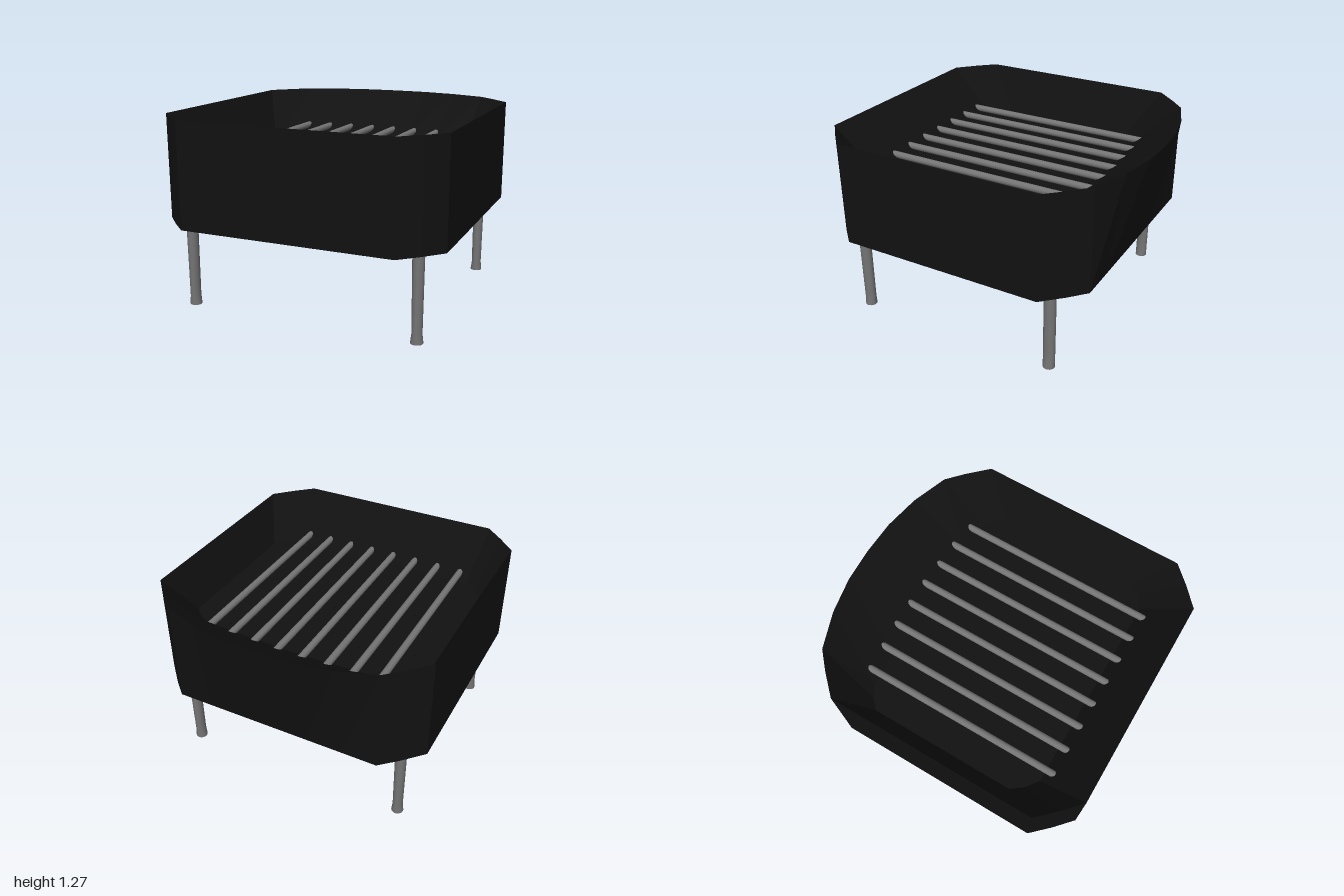
import * as THREE from 'three';

const black = new THREE.MeshStandardMaterial({ color: 0x111111, flatShading: true });
const metal = new THREE.MeshStandardMaterial({ color: 0x747474 });

const BASE = 0.58, RIM = 1.275, FLOOR = 0.98;

// Left half of the outline, front to back: rim x, rim z, tray floor x, tray floor z
const half = [
  [0.71, 1.0, 0.68, 0.69],
  [0.83, 0.89, 0.76, 0.63],
  [0.945, 0.77, 0.82, 0.55],
  [0.945, -0.63, 0.82, -0.44],
  [0.82, -0.76, 0.76, -0.5],
  [0.71, -0.86, 0.68, -0.54],
  [0.47, -0.945, 0.45, -0.555],
  [0.23, -0.99, 0.22, -0.565],
];

// Firebox: base, rim and sunken tray floor joined as rings, with fans closing both ends
function makeBody() {
  const mirrored = half.map(([x, z, fx, fz]) => [-x, z, -fx, fz]).reverse();
  const outline = [...half, [0, -1, 0, -0.57], ...mirrored];
  const rings = [
    outline.map(([x, z]) => [x, BASE, Math.max(z, -0.86)]), // the back leans out above a straight base
    outline.map(([x, z]) => [x, RIM, z]),
    outline.map(([, , x, z]) => [x, FLOOR, z]),
  ];
  const n = outline.length;
  const pos = [];
  const tri = (...corners) => corners.forEach((c) => pos.push(...c));
  for (let i = 0; i < n; i++) {
    const j = (i + 1) % n;
    for (let r = 0; r < 2; r++) {
      const lo = rings[r], hi = rings[r + 1];
      tri(lo[i], lo[j], hi[j]);
      tri(lo[i], hi[j], hi[i]);
    }
    tri(rings[2][i], rings[2][j], [0, FLOOR, 0]);
    tri(rings[0][j], rings[0][i], [0, BASE, 0]);
  }
  const geo = new THREE.BufferGeometry();
  geo.setAttribute('position', new THREE.Float32BufferAttribute(pos, 3));
  geo.computeVertexNormals();
  return geo;
}

// Leg: round post, narrowed sideways between a flared foot and its top
function makeLeg() {
  const height = BASE + 0.01;
  const geo = new THREE.CylinderGeometry(0.04, 0.04, height, 20, 10);
  geo.translate(0, height / 2, 0);
  const p = geo.attributes.position;
  for (let i = 0; i < p.count; i++) {
    const y = p.getY(i);
    const k = y < 0.05 ? 1 : 0.8 + 0.14 * (y / height);
    p.setX(i, p.getX(i) * k);
  }
  geo.computeVertexNormals();
  return geo;
}

export function createModel() {
  const model = new THREE.Group();
  const add = (name, geo, mat, x = 0, y = 0, z = 0) => {
    const mesh = new THREE.Mesh(geo, mat);
    mesh.name = name;
    mesh.position.set(x, y, z);
    model.add(mesh);
  };

  add('firebox', makeBody(), black);

  // Grate bars running front to back, ends sunk into the sloping tray walls
  const bar = new THREE.CylinderGeometry(0.023, 0.023, 1.5, 16).rotateX(Math.PI / 2);
  for (let i = 0; i < 8; i++) add('grateBar', bar, metal, (i - 3.5) * 0.1735, 1.02, 0.05);

  // Four legs
  const leg = makeLeg();
  for (const x of [-0.78, 0.78]) {
    add('frontLeg', leg, metal, x, 0, 0.78);
    add('backLeg', leg, metal, x, 0, -0.635);
  }
  return model;
}
